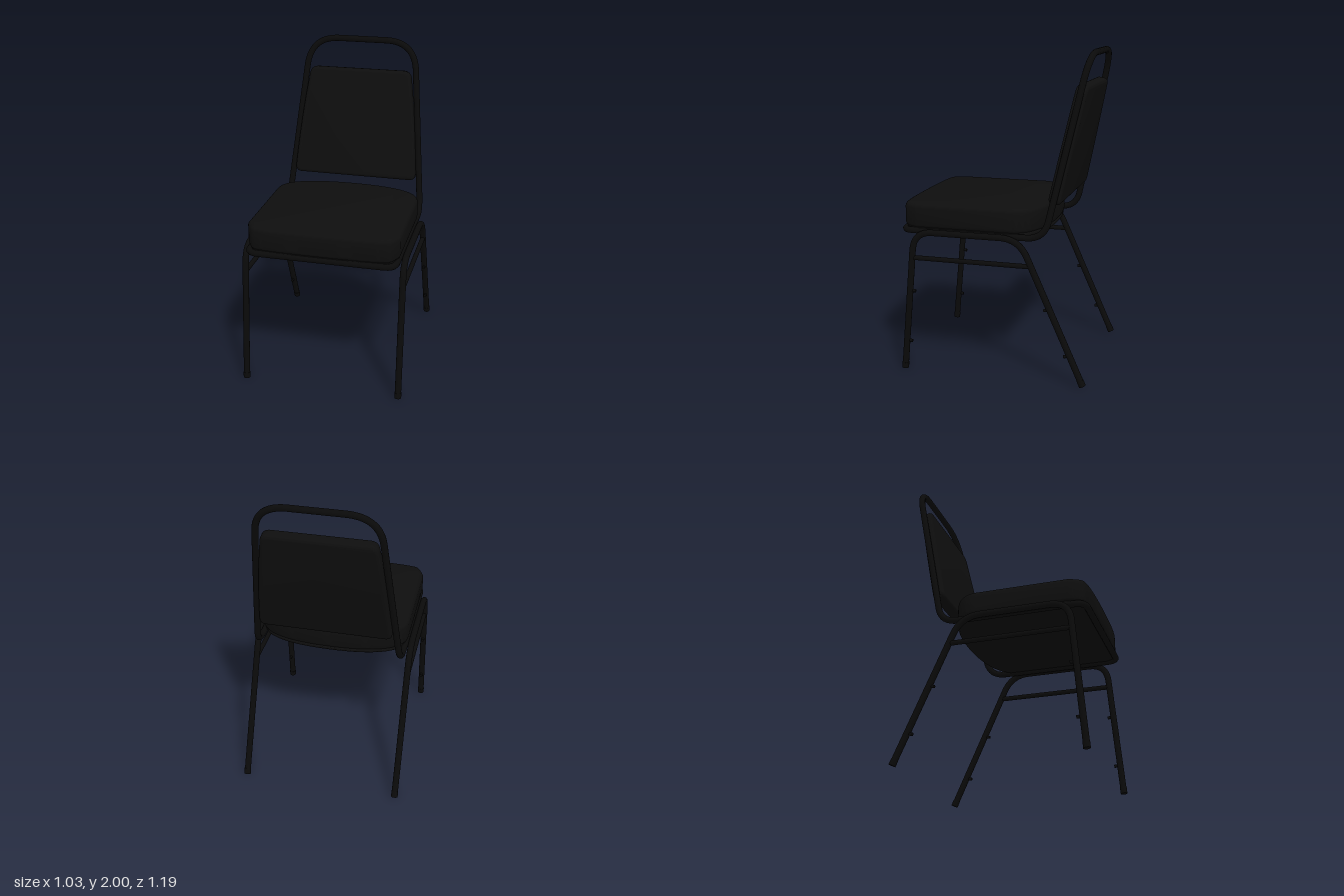
import * as THREE from 'three';
import { toCreasedNormals } from 'three/addons/utils/BufferGeometryUtils.js';

const V = (x, y, z) => new THREE.Vector3(x, y, z);
const R = 0.02; // tube radius

// Path of straight runs joined by rounded corners; radii[i] belongs to points[i]
function bentPath(points, radii, closed = false) {
  const path = new THREE.CurvePath();
  const n = points.length;
  const corner = (i) => {
    const p = points[i], r = radii[i];
    const toward = (q) => p.clone().add(q.clone().sub(p).setLength(r));
    return [toward(points[(i + n - 1) % n]), p, toward(points[(i + 1) % n])];
  };
  const first = closed ? corner(0) : null;
  let last = closed ? first[2] : points[0];
  for (let i = 1; i < (closed ? n : n - 1); i++) {
    const [a, p, b] = corner(i);
    path.add(new THREE.LineCurve3(last, a));
    path.add(new THREE.QuadraticBezierCurve3(a, p, b));
    last = b;
  }
  if (closed) {
    path.add(new THREE.LineCurve3(last, first[0]));
    path.add(new THREE.QuadraticBezierCurve3(...first));
  } else path.add(new THREE.LineCurve3(last, points[n - 1]));
  return path;
}

// Cushion slab with softened edges, keeping the outline as its full size
function cushion(shape, thickness, bevel) {
  const geo = new THREE.ExtrudeGeometry(shape, {
    depth: thickness - 2 * bevel, bevelEnabled: true, bevelThickness: bevel,
    bevelSize: bevel, bevelOffset: -bevel, bevelSegments: 5, curveSegments: 20,
  });
  geo.translate(0, 0, bevel);
  return toCreasedNormals(geo, 0.7);
}

function seatShape() {
  const s = new THREE.Shape();
  s.moveTo(0, -0.592);
  s.bezierCurveTo(0.25, -0.592, 0.38, -0.585, 0.42, -0.567);
  s.quadraticCurveTo(0.445, -0.55, 0.472, -0.48);
  s.lineTo(0.472, 0.1);
  s.bezierCurveTo(0.472, 0.24, 0.3, 0.31, 0, 0.31);
  s.bezierCurveTo(-0.3, 0.31, -0.472, 0.24, -0.472, 0.1);
  s.lineTo(-0.472, -0.48);
  s.quadraticCurveTo(-0.445, -0.55, -0.42, -0.567);
  s.bezierCurveTo(-0.38, -0.585, -0.25, -0.592, 0, -0.592);
  return s;
}

function backShape() {
  const s = new THREE.Shape();
  s.moveTo(-0.37, 0);
  s.lineTo(0.37, 0);
  s.quadraticCurveTo(0.415, 0.002, 0.411, 0.05);
  s.quadraticCurveTo(0.39, 0.36, 0.342, 0.67);
  s.quadraticCurveTo(0.335, 0.715, 0.29, 0.718);
  s.lineTo(-0.29, 0.718);
  s.quadraticCurveTo(-0.335, 0.715, -0.342, 0.67);
  s.quadraticCurveTo(-0.39, 0.36, -0.411, 0.05);
  s.quadraticCurveTo(-0.415, 0.002, -0.37, 0);
  return s;
}

export function createModel() {
  const model = new THREE.Group();
  model.name = 'chair';
  const padMat = new THREE.MeshStandardMaterial({ color: 0x0e0e0e });
  padMat.name = 'black upholstery';
  const frameMat = new THREE.MeshStandardMaterial({ color: 0x0a0a0a });
  frameMat.name = 'black metal';

  const add = (name, geo, mat, parent = model) => {
    const mesh = new THREE.Mesh(geo, mat);
    mesh.name = name;
    parent.add(mesh);
    return mesh;
  };
  // Capped rod between two points
  const rod = (name, a, b, radius, parent) => {
    const mesh = add(name, new THREE.CylinderGeometry(radius, radius, a.distanceTo(b), 14), frameMat, parent);
    mesh.position.copy(a).add(b).multiplyScalar(0.5);
    mesh.quaternion.setFromUnitVectors(V(0, 1, 0), b.clone().sub(a).normalize());
  };

  // Seat cushion and the board under it
  const seat = add('seatCushion', cushion(seatShape(), 0.155, 0.03), padMat);
  seat.rotation.x = -Math.PI / 2;
  seat.position.y = 0.912;
  const board = add('seatBoard', cushion(seatShape(), 0.03, 0.012), padMat);
  board.rotation.x = -Math.PI / 2;
  board.position.y = 0.893;
  board.scale.set(0.98, 0.98, 1);

  // Backrest cushion, leaning back
  const geo = cushion(backShape(), 0.075, 0.022);
  geo.translate(0, 0, -0.0375);
  const back = add('backCushion', geo, padMat);
  back.rotation.x = -0.212;
  back.position.set(0, 1.093, -0.366);

  // One closed tube runs round the seat and up over the back
  const half = [V(0.455, 0.895, 0.573), V(0.455, 0.895, -0.325), V(0.35, 1.98, -0.562)];
  const radii = [0.07, 0.11, 0.19];
  const loop = [...half, ...half.map((p) => V(-p.x, p.y, p.z)).reverse()];
  const loopPath = bentPath(loop, [...radii, ...radii.slice().reverse()], true);
  add('seatAndBackFrame', new THREE.TubeGeometry(loopPath, 260, R, 12, true), frameMat);

  // Leg frames on both sides
  for (const [side, x] of [['left', 0.493], ['right', -0.493]]) {
    const group = new THREE.Group();
    group.name = side + 'LegFrame';
    model.add(group);
    const frontFoot = V(x, 0.003, 0.565), frontTop = V(x, 0.895, 0.488);
    const backTop = V(x, 0.895, -0.18), backFoot = V(x, 0.009, -0.579);
    const path = bentPath([frontFoot, frontTop, backTop, backFoot], [0, 0.12, 0.12, 0]);
    add('legs', new THREE.TubeGeometry(path, 150, R, 12), frameMat, group);
    rod('sideRail', V(x, 0.73, 0.503), V(x, 0.73, -0.254), 0.015, group);

    // Foot caps and small stacking buttons
    for (const [foot, top] of [[frontFoot, frontTop], [backFoot, backTop]]) {
      rod('footCap', foot, foot.clone().lerp(top, 0.04), 0.0215, group);
      for (const y of [0.185, foot === frontFoot ? 0.515 : 0.465]) {
        const p = foot.clone().lerp(top, y / 0.895);
        rod('stackingButton', p, V(x, y, p.z - Math.sign(p.z) * 0.037), 0.01, group);
      }
    }
  }
  return model;
}
